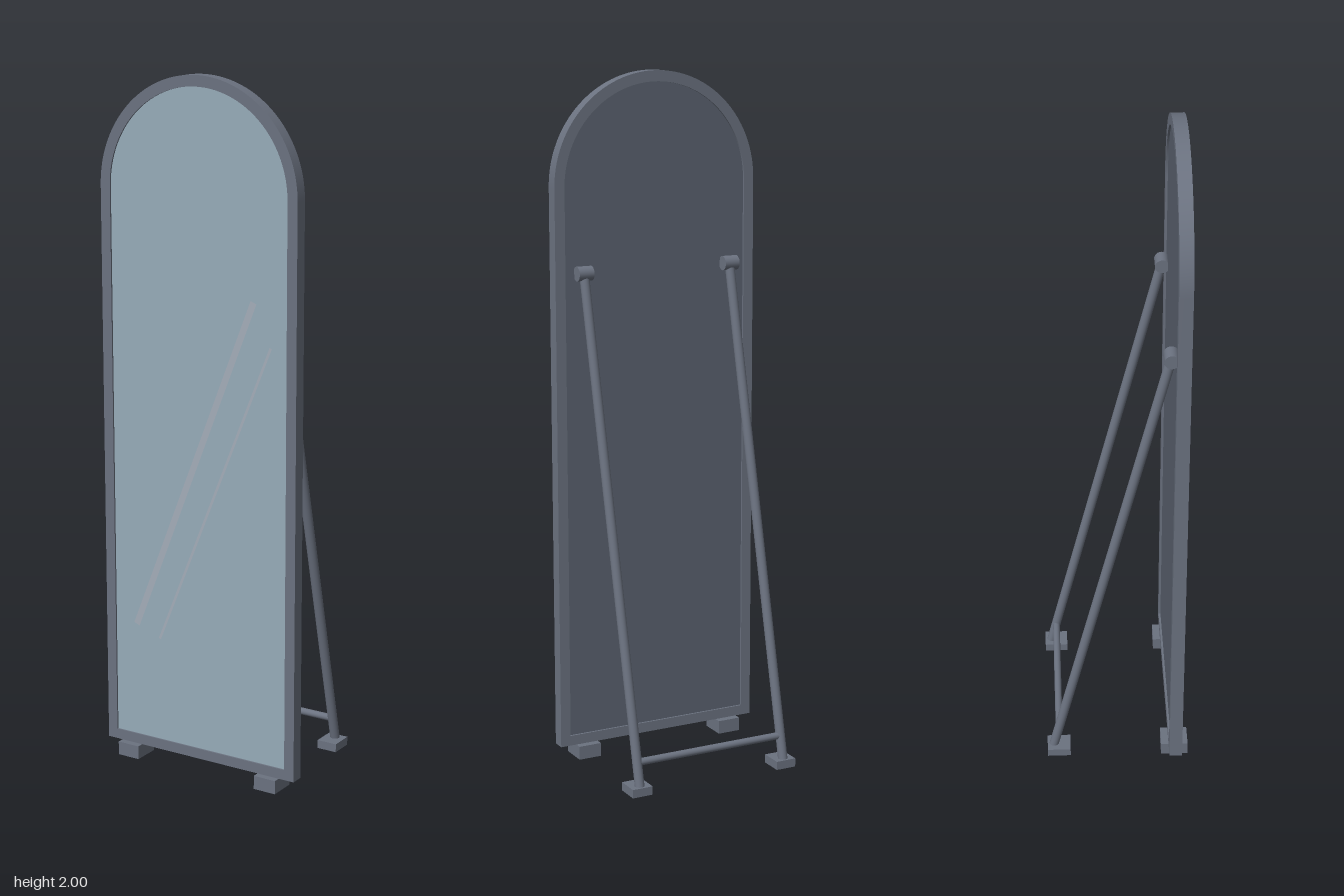
import * as THREE from 'three';
import { toCreasedNormals } from 'three/addons/utils/BufferGeometryUtils.js';

const SPRING = 1.682; // height where the arch begins

const metal = new THREE.MeshStandardMaterial({ color: 0x6b7280 });
const backing = new THREE.MeshStandardMaterial({ color: 0x5b6370 });
const glass = new THREE.MeshStandardMaterial({ color: 0x96abb8 });
const shine = new THREE.MeshStandardMaterial({ color: 0xa3adb8 });

function add(parent, name, geometry, material, x = 0, y = 0, z = 0) {
  const mesh = new THREE.Mesh(geometry, material);
  mesh.name = name;
  mesh.position.set(x, y, z);
  parent.add(mesh);
  return mesh;
}

// Rectangle with a semicircular top
function archOutline(path, half, bottom) {
  path.moveTo(-half, bottom);
  path.lineTo(half, bottom);
  path.lineTo(half, SPRING);
  path.absarc(0, SPRING, half, 0, Math.PI, false);
  path.lineTo(-half, bottom);
  return path;
}

function extrudeArch(shape, depth) {
  const g = new THREE.ExtrudeGeometry(shape, { depth, bevelEnabled: false, curveSegments: 40 });
  return toCreasedNormals(g, 0.5);
}

// Round bar between two points
function bar(parent, name, from, to, radius) {
  const dir = new THREE.Vector3().subVectors(to, from);
  const mesh = add(parent, name, new THREE.CylinderGeometry(radius, radius, dir.length(), 20), metal);
  mesh.position.addVectors(from, to).multiplyScalar(0.5);
  mesh.quaternion.setFromUnitVectors(new THREE.Vector3(0, 1, 0), dir.normalize());
  return mesh;
}

export function createModel() {
  const model = new THREE.Group();
  model.name = 'standingMirror';

  // Arched frame
  const ring = archOutline(new THREE.Shape(), 0.318, 0.04);
  ring.holes.push(archOutline(new THREE.Path(), 0.287, 0.07));
  add(model, 'frame', extrudeArch(ring, 0.038), metal, 0, 0, 0.152);

  // Backing board and glass, both recessed into the frame
  const pane = archOutline(new THREE.Shape(), 0.288, 0.069);
  add(model, 'backPanel', extrudeArch(pane, 0.016), backing, 0, 0, 0.158);
  add(model, 'mirrorGlass', extrudeArch(pane, 0.01), glass, 0, 0, 0.175);

  // Slanted reflections on the glass
  const streaks = [
    [-0.215, 0.41, 0.18, 1.4, 0.02],
    [-0.135, 0.38, 0.235, 1.28, 0.008],
  ];
  for (const [x0, y0, x1, y1, width] of streaks) {
    const length = Math.hypot(x1 - x0, y1 - y0);
    const streak = add(model, 'glassReflection', new THREE.PlaneGeometry(width, length), shine,
      (x0 + x1) / 2, (y0 + y1) / 2, 0.1865);
    streak.rotation.z = -Math.atan2(x1 - x0, y1 - y0);
  }

  // Feet, hinges and rear legs on both sides
  for (const [side, s] of [['left', 1], ['right', -1]]) {
    const x = 0.234 * s;
    add(model, side + 'FrontFoot', new THREE.BoxGeometry(0.07, 0.04, 0.08), metal, x, 0.02, 0.17);
    add(model, side + 'RearFoot', new THREE.BoxGeometry(0.062, 0.025, 0.069), metal, x, 0.0125, -0.178);
    const hinge = add(model, side + 'Hinge', new THREE.CylinderGeometry(0.021, 0.021, 0.046, 24), metal, x, 1.44, 0.142);
    hinge.rotation.z = Math.PI / 2;
    bar(model, side + 'RearLeg', new THREE.Vector3(x, 1.44, 0.142), new THREE.Vector3(x, 0.014, -0.195), 0.014);
  }

  // Crossbar joining the rear legs
  bar(model, 'crossbar', new THREE.Vector3(-0.234, 0.09, -0.177), new THREE.Vector3(0.234, 0.09, -0.177), 0.0105);

  return model;
}
